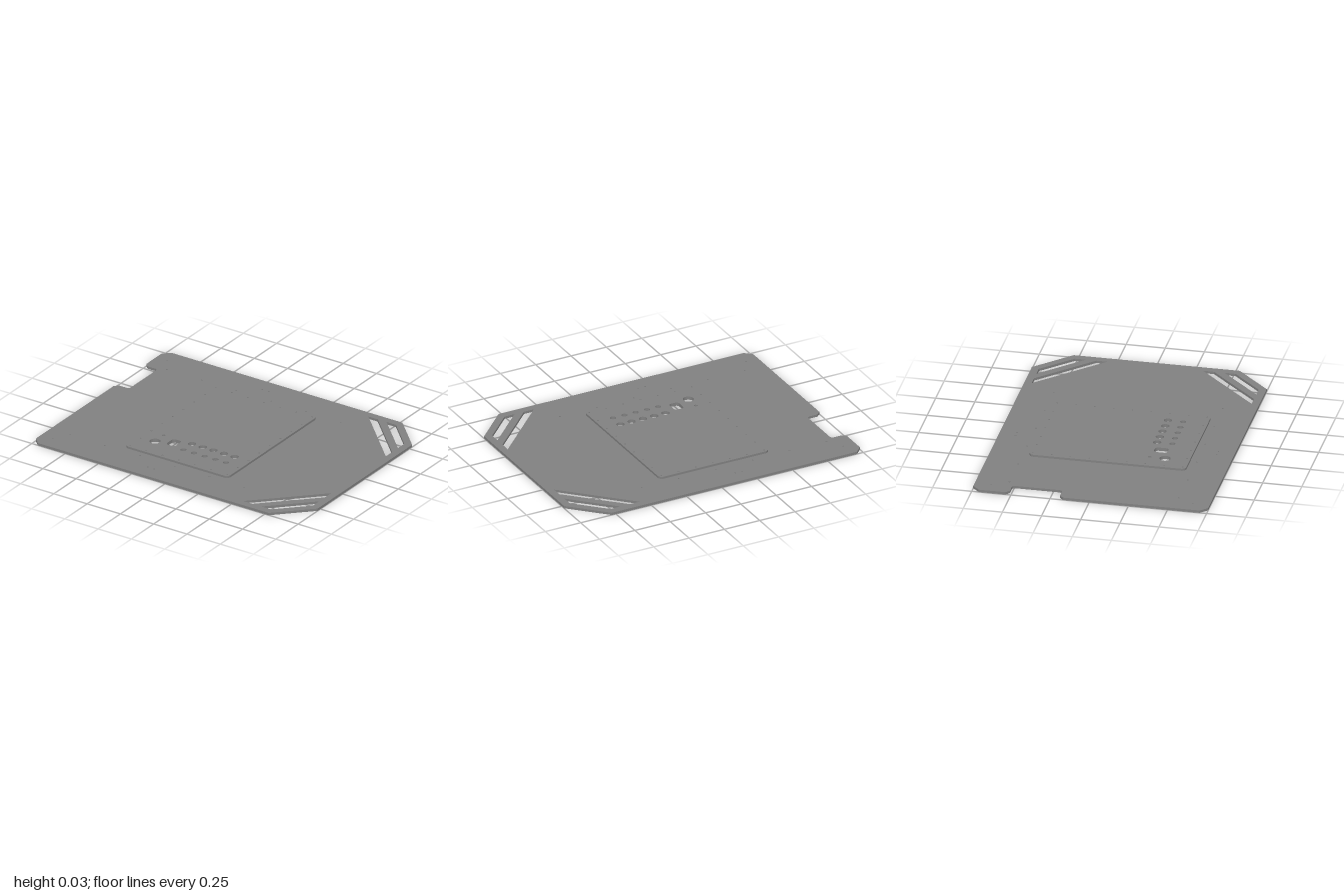
import * as THREE from 'three';

const INSET_BOTTOM = 0.008, PLATE_TOP = 0.016, PANEL_TOP = 0.03;
const SCREW_RADIUS = 0.0055;
const material = new THREE.MeshStandardMaterial({ color: 0x808080 });

// Plan outlines are drawn as (x, z) points
const polygon = (pts, Type = THREE.Path) => new Type(pts.map(([x, z]) => new THREE.Vector2(x, z)));

const circle = (x, z, r) => new THREE.Path().absarc(x, z, r, 0, Math.PI * 2, true);

function roundedRect(x0, z0, x1, z1, r, Type = THREE.Path) {
  const p = new Type(), h = Math.PI / 2;
  p.absarc(x1 - r, z1 - r, r, 0, h);
  p.absarc(x0 + r, z1 - r, r, h, 2 * h);
  p.absarc(x0 + r, z0 + r, r, 2 * h, 3 * h);
  p.absarc(x1 - r, z0 + r, r, 3 * h, 4 * h);
  p.closePath();
  return p;
}

// Opening in the plate, filled partway by the panel's inset
const opening = (Type) => roundedRect(-0.415, -0.452, 0.253, 0.447, 0.012, Type);

// Lay a plan shape flat between two heights
function sheet(name, shape, bottom, top) {
  const geometry = new THREE.ExtrudeGeometry(shape, {
    depth: top - bottom, bevelEnabled: false, curveSegments: 10,
  });
  geometry.rotateX(Math.PI / 2).translate(0, top, 0);
  const mesh = new THREE.Mesh(geometry, material);
  mesh.name = name;
  return mesh;
}

// Screw holes around the edge of the raised panel
function panelScrewHoles() {
  const list = [];
  for (let i = 0; i < 7; i++) {
    const x = -0.443 + i * 0.1213;
    list.push([x, -0.48], [x, 0.478]);
  }
  for (let i = 1; i < 8; i++) {
    const z = -0.48 + i * 0.1198;
    list.push([-0.443, z], [0.285, z]);
  }
  return list.map(([x, z]) => circle(x, z, SCREW_RADIUS));
}

// Control holes cut through the panel and its inset
function controlHoles() {
  const holes = [
    circle(-0.346, 0.247, 0.011), // indicator
    circle(-0.346, 0.344, 0.035), // large round hole
    roundedRect(-0.27, 0.253, -0.204, 0.34, 0.02), // connector cutout
  ];
  for (let i = 0; i < 5; i++) {
    const x = -0.133 + i * 0.08;
    holes.push(circle(x, 0.247, 0.026), circle(x, 0.344, 0.019));
  }
  return holes;
}

function createBasePlate() {
  const plate = polygon([
    [-0.955, -0.75], [0.78, -0.75], [1, -0.53], [1, 0.53], [0.78, 0.75], [-0.955, 0.75], [-1, 0.705],
    // side notch
    [-1, -0.168], [-0.975, -0.192], [-0.918, -0.192], [-0.905, -0.197], [-0.9, -0.21],
    [-0.9, -0.493], [-0.905, -0.506], [-0.918, -0.511], [-0.975, -0.511], [-1, -0.535],
    [-1, -0.705],
  ], THREE.Shape);

  for (const s of [-1, 1]) {
    // diagonal corner slots
    plate.holes.push(
      polygon([[0.693, 0.702 * s], [0.763, 0.702 * s], [0.952, 0.513 * s], [0.952, 0.443 * s]]),
      polygon([[0.556, 0.702 * s], [0.626, 0.702 * s], [0.952, 0.376 * s], [0.952, 0.306 * s]]),
    );
    // mounting holes
    for (let i = 0; i < 6; i++) plate.holes.push(circle(-0.851 + i * 0.2615, 0.541 * s, SCREW_RADIUS));
    for (const x of [-0.915, -0.201, -0.152]) plate.holes.push(circle(x, 0.643 * s, SCREW_RADIUS));
  }

  plate.holes.push(opening(THREE.Path), ...panelScrewHoles());
  return sheet('basePlate', plate, 0, PLATE_TOP);
}

function createControlPanel() {
  const panel = roundedRect(-0.47, -0.5, 0.307, 0.5, 0.03, THREE.Shape);
  panel.holes.push(...panelScrewHoles(), ...controlHoles());

  const inset = opening(THREE.Shape);
  inset.holes.push(...controlHoles());

  const group = new THREE.Group();
  group.name = 'controlPanel';
  group.add(
    sheet('panelCover', panel, PLATE_TOP, PANEL_TOP),
    sheet('panelInset', inset, INSET_BOTTOM, PLATE_TOP),
  );
  return group;
}

export function createModel() {
  const group = new THREE.Group();
  group.name = 'panelAssembly';
  group.add(createBasePlate(), createControlPanel());
  return group;
}
